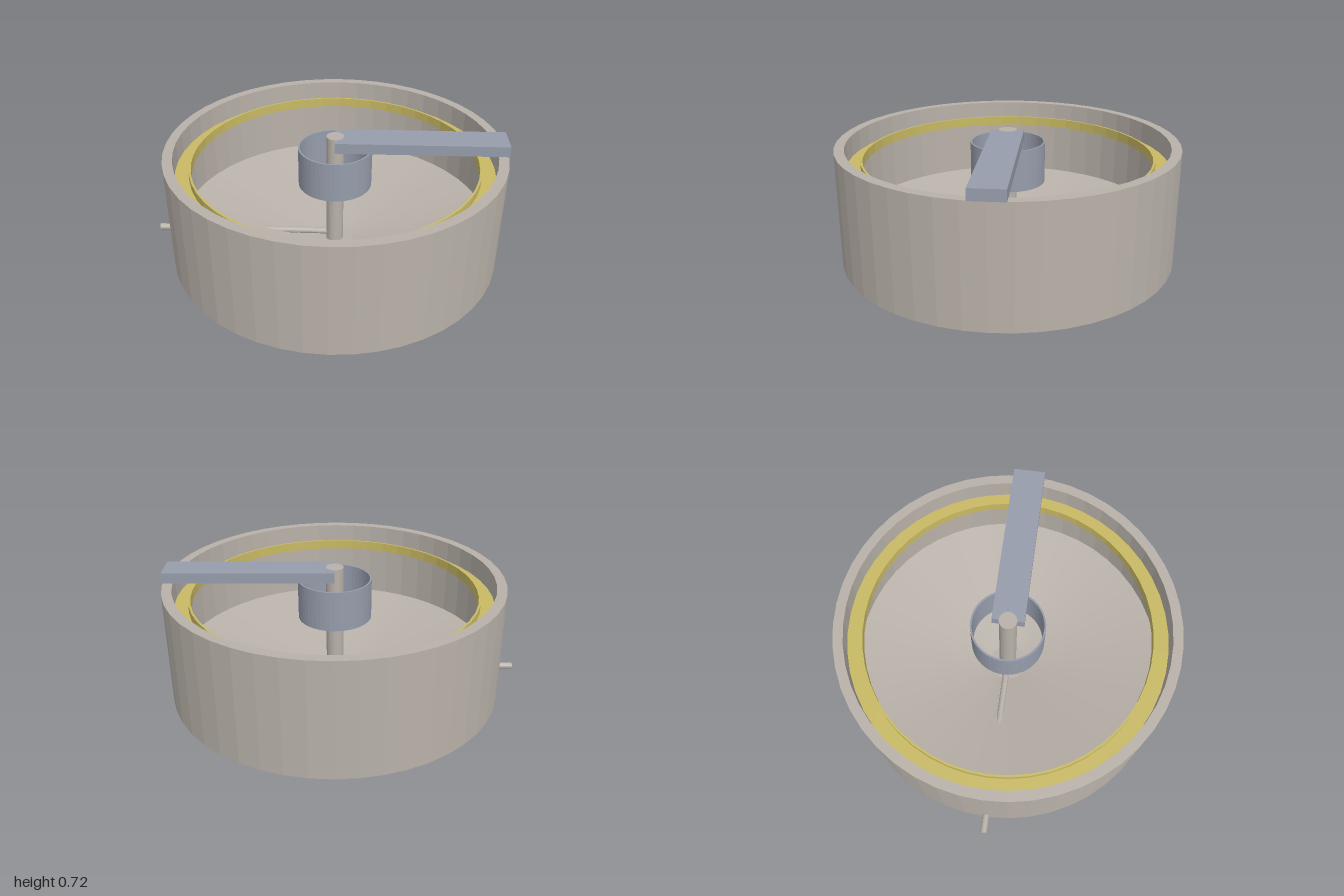
import * as THREE from 'three';

const CX = 0.05; // tank axis

function flat(name, color) {
  const m = new THREE.MeshStandardMaterial({ color, flatShading: true });
  m.name = name;
  return m;
}

// Ring or bowl turned about the tank axis; profile runs up the outside and down the inside
function turned(name, profile, material, sides = 48) {
  const pts = profile.map(([r, y]) => new THREE.Vector2(r, y));
  const mesh = new THREE.Mesh(new THREE.LatheGeometry(pts, sides), material);
  mesh.name = name;
  mesh.position.x = CX;
  return mesh;
}

export function createModel() {
  const concrete = flat('concrete', 0xb8b1a9);
  const yellow = flat('weirYellow', 0xc8b964);
  const steel = flat('steel', 0x969cab);
  const group = new THREE.Group();
  group.name = 'settlingTank';

  // Round tank with a floor sloping down to the middle
  group.add(turned('tank', [
    [0, 0], [0.95, 0], [0.95, 0.655], [0.895, 0.655], [0.895, 0.195], [0.11, 0.04], [0, 0.04],
  ], concrete));

  // Overflow channel: flat shelf with an upright lip
  group.add(turned('overflowChannel', [
    [0.803, 0.525], [0.895, 0.525], [0.895, 0.535], [0.815, 0.535],
    [0.815, 0.58], [0.803, 0.58], [0.803, 0.525],
  ], yellow));

  // Open feed drum around the shaft
  group.add(turned('feedDrum', [
    [0.198, 0.42], [0.208, 0.42], [0.208, 0.65], [0.198, 0.65], [0.198, 0.42],
  ], steel));

  // Central shaft
  const shaft = new THREE.Mesh(new THREE.CylinderGeometry(0.05, 0.05, 0.686, 24), concrete);
  shaft.name = 'shaft';
  shaft.position.set(CX, 0.373, 0);
  group.add(shaft);

  // Walkway bridge from the shaft to the rim
  const bridge = new THREE.Mesh(new THREE.BoxGeometry(0.95, 0.06, 0.18), steel);
  bridge.name = 'bridge';
  bridge.position.set(CX + 0.475, 0.685, 0);
  group.add(bridge);

  // Drain pipe from the middle out through the wall
  const pipe = new THREE.Mesh(new THREE.CylinderGeometry(0.019, 0.019, 1.05, 16), concrete);
  pipe.name = 'drainPipe';
  pipe.rotation.z = Math.PI / 2;
  pipe.position.set(-0.475, 0.081, 0);
  group.add(pipe);

  return group;
}
